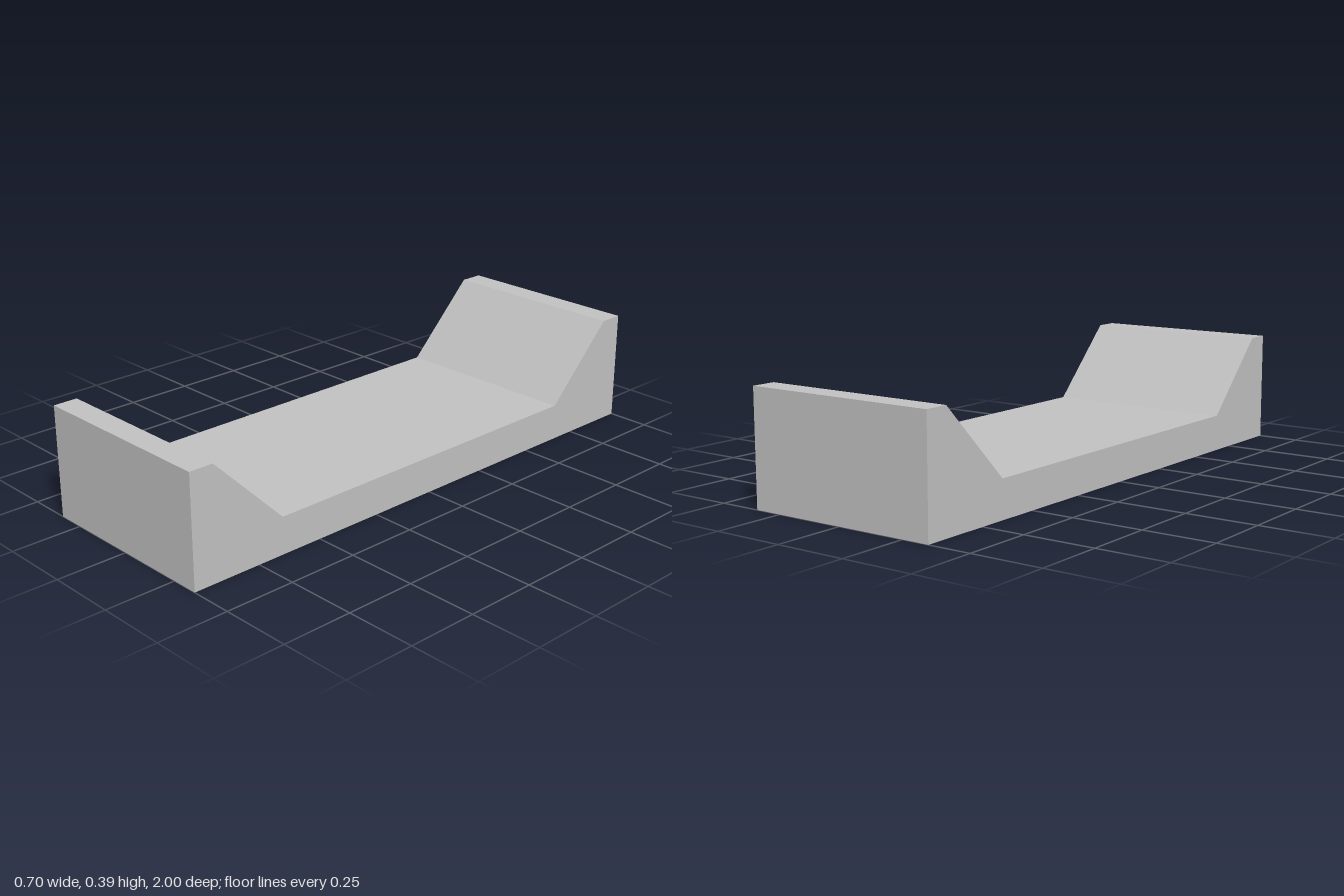
import * as THREE from 'three';

export function createModel() {
  const group = new THREE.Group();
  group.name = 'cradleBlock';

  const grey = new THREE.MeshStandardMaterial({ color: 0xc0c0c0, flatShading: true });
  grey.name = 'light grey';

  const width = 0.696;

  // Side profile: half outline from the floor up over the end lip, then mirrored
  const half = [[1, 0], [1, 0.392], [0.914, 0.392], [0.652, 0.13]];
  const mirrored = half.map(([z, y]) => [-z, y]).reverse();
  const profile = new THREE.Shape([...half, ...mirrored].map(([z, y]) => new THREE.Vector2(z, y)));

  // Sweep the profile across the width, turned so its length runs along z
  const geometry = new THREE.ExtrudeGeometry(profile, { depth: width, bevelEnabled: false });
  geometry.translate(0, 0, -width / 2);
  geometry.rotateY(-Math.PI / 2);

  const body = new THREE.Mesh(geometry, grey);
  body.name = 'bedWithSlopedEnds';
  group.add(body);

  return group;
}
